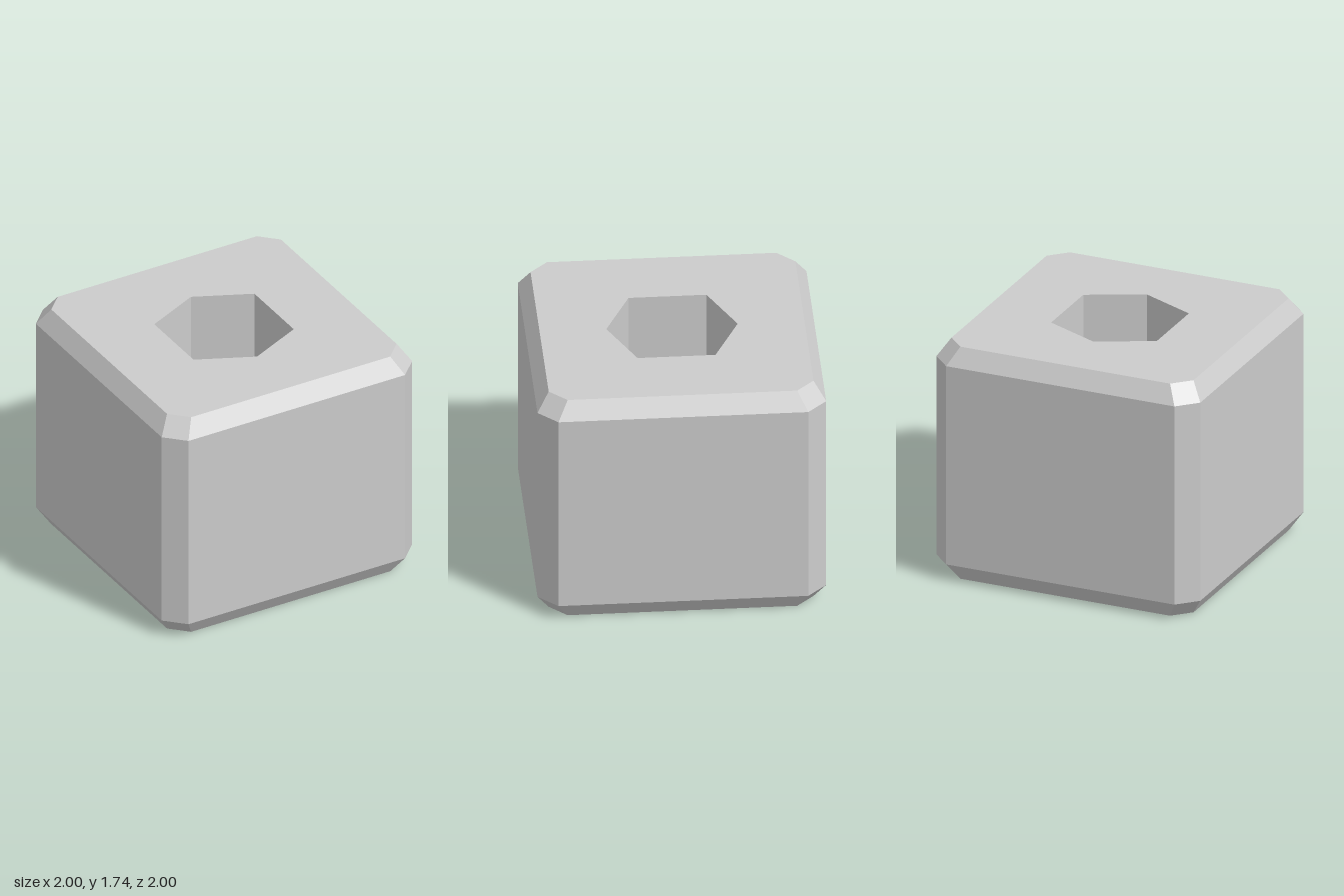
import * as THREE from 'three';

const HEIGHT = 1.74;
const material = new THREE.MeshStandardMaterial({ color: 0xcccccc, flatShading: true });

// Square of half width h with its corners cut back to c, counterclockwise
function cutSquare(h, c) {
  return [[h, -c], [h, c], [c, h], [-c, h], [-h, c], [-h, -c], [-c, -h], [c, -h]]
    .map(([x, y]) => new THREE.Vector2(x, y));
}

// Joins a stack of equal-sized loops [{ y, points }] with flat quads
function loft(rings) {
  const pos = [];
  for (let r = 0; r < rings.length - 1; r++) {
    const lo = rings[r], hi = rings[r + 1], n = lo.points.length;
    for (let i = 0; i < n; i++) {
      const j = (i + 1) % n;
      const corner = (ring, k) => [ring.points[k].x, ring.y, -ring.points[k].y];
      const a = corner(lo, i), b = corner(lo, j), c = corner(hi, j), d = corner(hi, i);
      pos.push(...a, ...b, ...c, ...a, ...c, ...d);
    }
  }
  const geometry = new THREE.BufferGeometry();
  geometry.setAttribute('position', new THREE.Float32BufferAttribute(pos, 3));
  geometry.computeVertexNormals();
  return geometry;
}

export function createModel() {
  const group = new THREE.Group();
  group.name = 'chamferedBlock';
  const add = (name, geometry) => {
    const mesh = new THREE.Mesh(geometry, material);
    mesh.name = name;
    group.add(mesh);
    return mesh;
  };

  const wide = cutSquare(1, 0.865);
  const narrow = cutSquare(0.917, 0.795);
  // Clockwise, so the bore's walls face inward
  const hexagon = [[0, 0.455], [0.4, 0.27], [0.4, -0.27], [0, -0.455], [-0.4, -0.27], [-0.4, 0.27]]
    .map(([x, y]) => new THREE.Vector2(x, y));

  // Outer walls with chamfered top and bottom edges
  add('outerWalls', loft([
    { y: 0, points: narrow },
    { y: 0.127, points: wide },
    { y: HEIGHT - 0.127, points: wide },
    { y: HEIGHT, points: narrow },
  ]));

  // Hexagonal bore running right through
  add('hexBore', loft([{ y: 0, points: hexagon }, { y: HEIGHT, points: hexagon }]));

  // Top and bottom faces, pierced by the bore
  const face = new THREE.Shape(narrow);
  face.holes.push(new THREE.Path(hexagon));
  add('topFace', new THREE.ShapeGeometry(face).rotateX(-Math.PI / 2)).position.y = HEIGHT;
  add('bottomFace', new THREE.ShapeGeometry(face).rotateX(Math.PI / 2));

  return group;
}
